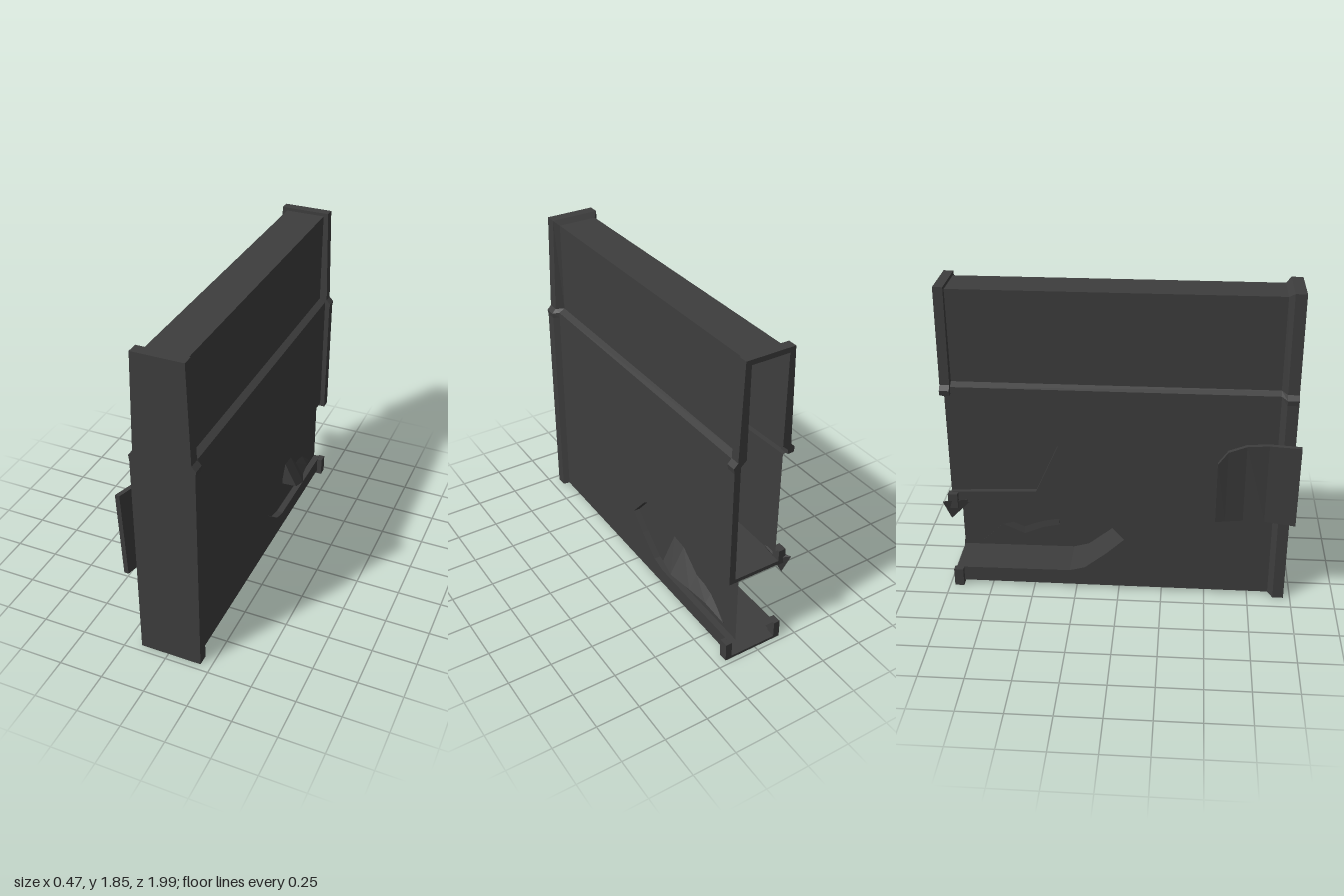
import * as THREE from 'three';

const darkMetal = new THREE.MeshStandardMaterial({ color: 0x3d3d3d, side: THREE.DoubleSide });
darkMetal.name = 'darkMetal';
const C = 0.015; // middle of the slab across x
const LOW = 0.148, UP = 0.113; // half widths below and above the step

function mesh(name, geometry) {
  const m = new THREE.Mesh(geometry, darkMetal);
  m.name = name;
  return m;
}

// Flat-shaded geometry from a list of triangles
function fromTriangles(tris) {
  const g = new THREE.BufferGeometry();
  g.setAttribute('position', new THREE.Float32BufferAttribute(tris.flat(2), 3));
  g.computeVertexNormals();
  return g;
}

// Joins counter-clockwise xy outlines running along +z, closing the chosen ends
function loft(sections, capBack = true, capFront = true) {
  const rings = sections.map(([z, pts]) => pts.map(([x, y]) => [x, y, z]));
  const tris = [];
  for (let s = 0; s < rings.length - 1; s++) {
    const a = rings[s], b = rings[s + 1], n = a.length;
    for (let i = 0; i < n; i++) {
      const j = (i + 1) % n;
      tris.push([a[i], a[j], b[j]], [a[i], b[j], b[i]]);
    }
  }
  const cap = (ring, flip) => {
    const flat = ring.map(([x, y]) => new THREE.Vector2(x, y));
    for (const [i, j, k] of THREE.ShapeUtils.triangulateShape(flat, [])) {
      tris.push(flip ? [ring[i], ring[k], ring[j]] : [ring[i], ring[j], ring[k]]);
    }
  };
  if (capBack) cap(rings[0], true);
  if (capFront) cap(rings[rings.length - 1], false);
  return fromTriangles(tris);
}

// Upright panel at one x from a zy outline, facing the given side
function panel(outline, x, side) {
  const flat = outline.map(([z, y]) => new THREE.Vector2(z, y));
  const clockwise = THREE.ShapeUtils.isClockWise(flat);
  const p = (i) => [x, outline[i][1], outline[i][0]];
  const tris = THREE.ShapeUtils.triangulateShape(flat, []).map(([i, j, k]) =>
    (side > 0) !== clockwise ? [p(i), p(k), p(j)] : [p(i), p(j), p(k)]);
  return fromTriangles(tris);
}

// Open wall that sweeps a zy path across x
function rim(path, x0, x1) {
  const tris = [];
  for (let i = 0; i < path.length - 1; i++) {
    const [za, ya] = path[i], [zb, yb] = path[i + 1];
    tris.push([[x0, ya, za], [x1, ya, za], [x1, yb, zb]], [[x0, ya, za], [x1, yb, zb], [x0, yb, zb]]);
  }
  return fromTriangles(tris);
}

// Stepped slab outline, counter-clockwise from the lower right
function steppedOutline(low, flange, up, top, y0, y1, stepLow, stepHigh) {
  const right = [[low, y0], [low, stepLow - 0.03], [flange, stepLow], [up, stepHigh], [top, y1]];
  return [
    ...right.map(([h, y]) => [C + h, y]),
    ...right.reverse().map(([h, y]) => [C - h, y]),
  ];
}

export function createModel() {
  const model = new THREE.Group();
  model.name = 'damagedSlab';
  const B = -0.95, F = 0.88; // back and front ends of the walls

  // Boat-shaped lower cut and rounded upper cut, listed bottom to top
  const lowerCut = [[-0.96, 0.11], [-0.29, 0.115], [-0.2, 0.14], [-0.07, 0.245], [0.03, 0.34],
    [-0.09, 0.48], [-0.2, 0.55], [-0.3, 0.56], [-0.96, 0.555]];
  const upperCut = [[-0.96, 0.62], [-0.47, 0.64], [-0.34, 0.93], [-0.47, 1.21], [-0.96, 1.235]];

  // Lower side walls with their cuts
  const body = new THREE.Group();
  body.name = 'body';
  const wall = (cuts) => [[F, 0.02], [B - 0.01, 0.02], ...cuts, [B - 0.01, 1.275], [F, 1.275]];
  body.add(mesh('leftLowerWall', panel(wall(lowerCut), C + LOW, 1)));
  body.add(mesh('rightLowerWall', panel(wall([...lowerCut, ...upperCut]), C - LOW, -1)));

  // Step and upper walls on both sides
  for (const s of [1, -1]) {
    const name = s > 0 ? 'left' : 'right';
    const xl = C + s * LOW, xu = C + s * UP;
    body.add(mesh(name + 'UpperWall', panel([[F, 1.295], [B, 1.295], [B, 1.82], [F, 1.82]], xu, s)));
    const step = s > 0
      ? [[[xl, 1.275, F], [xl, 1.275, B], [xu, 1.295, B]], [[xl, 1.275, F], [xu, 1.295, B], [xu, 1.295, F]]]
      : [[[xl, 1.275, B], [xl, 1.275, F], [xu, 1.295, F]], [[xl, 1.275, B], [xu, 1.295, F], [xu, 1.295, B]]];
    body.add(mesh(name + 'Step', fromTriangles(step)));
  }
  body.add(mesh('roof', rim([[F, 1.82], [B, 1.82]], C - UP, C + UP)));
  body.add(mesh('floor', rim([[B, 0.02], [F, 0.02]], C - LOW, C + LOW)));
  model.add(body);

  // Pocket cut right through to a recessed panel, and a shallow recess
  model.add(mesh('pocketWalls', rim(lowerCut, C - LOW, C + LOW)));
  model.add(mesh('pocketPanel', panel(lowerCut, 0.125, 1)));
  model.add(mesh('recessRim', rim(upperCut, C - LOW, -0.105)));
  model.add(mesh('recessPanel', panel(upperCut, -0.105, -1)));

  // Closed front cap, tapering back to the walls
  const wallRing = steppedOutline(LOW, LOW, UP, UP, 0.02, 1.82, 1.275, 1.295);
  const capRing = steppedOutline(0.176, 0.181, 0.157, 0.14, 0, 1.845, 1.265, 1.29);
  model.add(mesh('frontCap', loft([[0.87, wallRing], [0.9, capRing], [0.962, capRing]], false, true)));

  // Open back frame, broken where the cuts run out
  const backFrame = new THREE.Group();
  backFrame.name = 'backFrame';
  const upperFrame = [
    [C + 0.14, 0.555], [C + 0.176, 0.555], [C + 0.176, 1.235], [C + 0.181, 1.265], [C + 0.157, 1.29],
    [C + 0.14, 1.838], [C - 0.14, 1.838], [C - 0.157, 1.29], [C - 0.181, 1.265], [C - 0.176, 1.235],
    [C - 0.14, 1.235], [C - 0.14, 1.26], [C - 0.108, 1.29], [C - 0.108, 1.81],
    [C + 0.108, 1.81], [C + 0.108, 1.29], [C + 0.14, 1.26],
  ];
  const lowerFrame = [[-0.178, 0], [0.178, 0], [0.178, 0.11], [0.14, 0.11], [0.14, 0.015],
    [-0.14, 0.015], [-0.14, 0.11], [-0.178, 0.11]].map(([x, y]) => [C + x, y]);
  const stub = [[-0.163, 0.53], [-0.12, 0.53], [-0.12, 0.62], [-0.163, 0.62]];
  const sill = [[-0.163, 0.535], [0.191, 0.535], [0.191, 0.557], [-0.163, 0.557]];
  for (const [name, outline] of Object.entries({ upperFrame, lowerFrame, stub, sill })) {
    backFrame.add(mesh(name, loft([[-0.972, outline], [-0.918, outline]])));
  }
  model.add(backFrame);

  // Bent loose plate by the right side
  const plate = [[0.545, -0.18, 0.9], [0.6, -0.168, 0.97], [0.7, -0.152, 1.0], [0.82, -0.155, 1.01], [0.99, -0.195, 1.02]];
  model.add(mesh('bentPlate', loft(plate.map(([z, x, top]) =>
    [z, [[x - 0.025, 0.525], [x, 0.525], [x - 0.02, top], [x - 0.045, top]]]))));

  // Jagged splinter out of the pocket panel
  const splinter = [
    [-0.845, [[0.12, 0.14], [0.13, 0.142], [0.12, 0.145]]],
    [-0.72, [[0.12, 0.17], [0.16, 0.2], [0.12, 0.26]]],
    [-0.59, [[0.12, 0.2], [0.18, 0.21], [0.13, 0.29]]],
    [-0.47, [[0.12, 0.25], [0.226, 0.25], [0.14, 0.41]]],
    [-0.375, [[0.12, 0.27], [0.215, 0.275], [0.14, 0.42]]],
  ];
  model.add(mesh('splinter', loft(splinter)));

  // Torn flap at the back corner
  const a = [-0.18, 0.58, -1], b = [-0.125, 0.57, -0.84], c = [-0.155, 0.46, -0.96], d = [-0.12, 0.56, -0.95];
  model.add(mesh('tornFlap', fromTriangles([[a, c, b], [a, b, d], [a, d, c], [b, c, d]])));
  return model;
}
